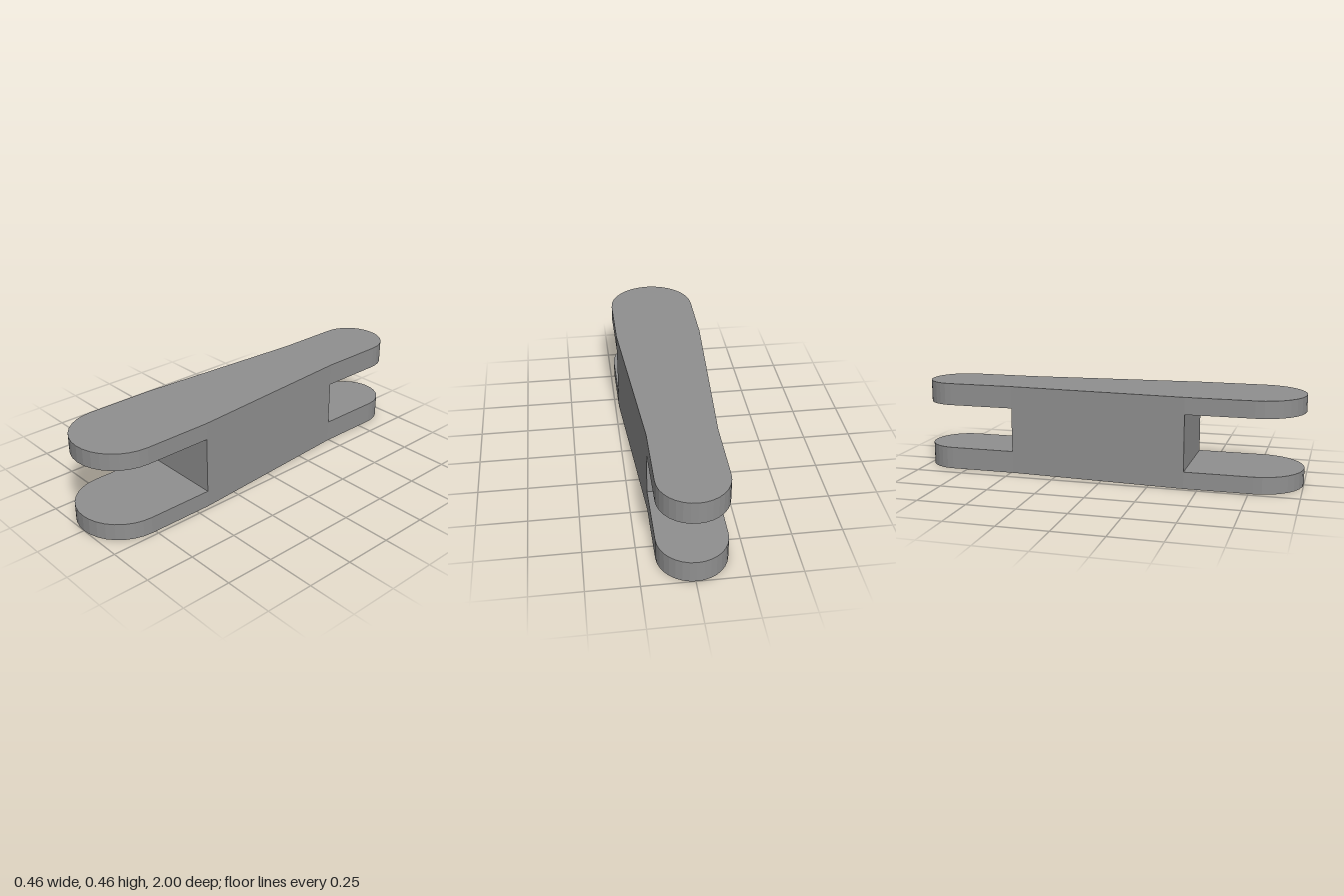
import * as THREE from 'three';

const HEIGHT = 0.46;
const FRONT = { x: 0, r: 0.23, end: 0.77, slot: 0.43, plate: 0.086 };
const BACK = { x: -0.005, r: 0.17, end: -0.83, slot: -0.49, plate: 0.115 };

export function createModel() {
  const group = new THREE.Group();
  group.name = 'clevisLink';
  const grey = new THREE.MeshStandardMaterial({ color: 0x909090 });
  grey.name = 'grey';

  // Extrudes a plan outline (shape y = -z) upwards from a given height
  const addSlab = (name, shape, y, height) => {
    const geometry = new THREE.ExtrudeGeometry(shape, { depth: height, bevelEnabled: false, curveSegments: 8 });
    geometry.rotateX(-Math.PI / 2);
    geometry.translate(0, y, 0);
    const mesh = new THREE.Mesh(geometry, grey);
    mesh.name = name;
    group.add(mesh);
  };

  // Tapered solid body between the two slots
  const body = new THREE.Shape();
  body.moveTo(FRONT.x - FRONT.r, -FRONT.slot);
  body.lineTo(FRONT.x + FRONT.r, -FRONT.slot);
  body.lineTo(BACK.x + BACK.r, -BACK.slot);
  body.lineTo(BACK.x - BACK.r, -BACK.slot);
  body.closePath();
  addSlab('body', body, 0, HEIGHT);

  // Round-ended fork plates, a lower and an upper one at each end
  for (const [name, e, start] of [['front', FRONT, Math.PI], ['back', BACK, 0]]) {
    const side = Math.cos(start) * e.r;
    const plate = new THREE.Shape();
    plate.moveTo(e.x + side, -e.slot);
    plate.lineTo(e.x + side, -e.end);
    plate.absarc(e.x, -e.end, e.r, start, start + Math.PI, false);
    plate.lineTo(e.x - side, -e.slot);
    plate.closePath();
    addSlab(name + 'LowerPlate', plate, 0, e.plate);
    addSlab(name + 'UpperPlate', plate, HEIGHT - e.plate, e.plate);
  }

  return group;
}
